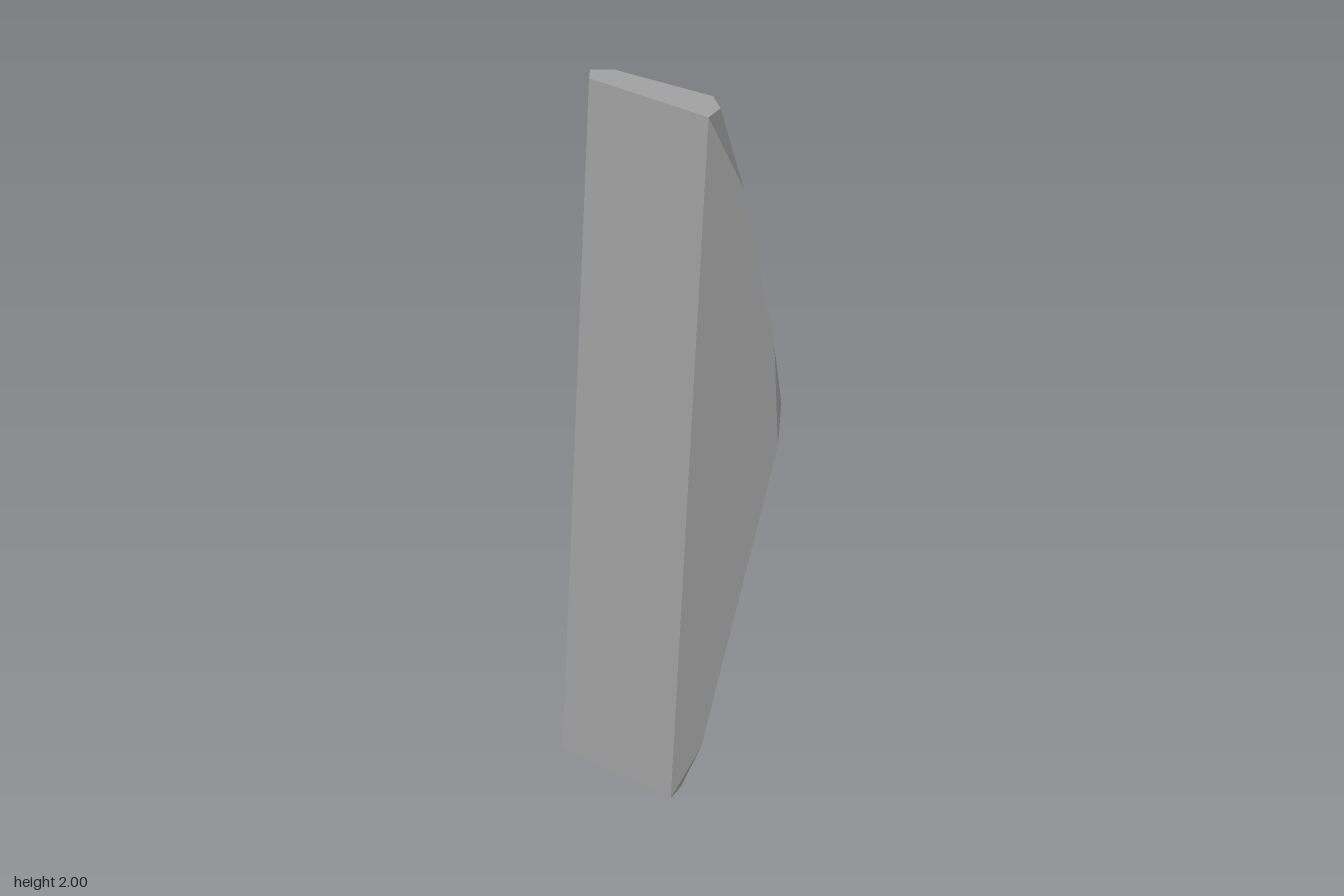
import * as THREE from 'three';
import { ConvexGeometry } from 'three/addons/geometries/ConvexGeometry.js';

export function createModel() {
  const group = new THREE.Group();
  group.name = 'stoneShard';
  const stone = new THREE.MeshStandardMaterial({ color: 0xa0a0a0 });
  stone.name = 'grey stone';

  // corner points [x, y, z] of the faceted slab
  const corners = [
    // bottom outline
    [-0.29, 0, -0.14], [-0.29, 0, -0.078], [0.018, 0, 0.14],
    [0.045, 0, 0.085], [0.03, 0, 0.015], [-0.22, 0, -0.14],
    // top outline
    [-0.185, 2, -0.14], [-0.185, 2, -0.085], [0.103, 2, 0.138],
    [0.13, 2, 0.085], [0.112, 2, 0.015], [-0.125, 2, -0.14],
    // widest ridge on the back and side
    [0.028, 1.21, -0.14], [0.19, 1.21, -0.042],
    [0.279, 1.21, 0.032], [0.29, 1.21, 0.08],
    // edge of the front face
    [0.1, 0.18, 0.139], [0.283, 1.12, 0.135],
    [0.268, 1.4, 0.135], [0.187, 1.82, 0.137],
    // chamfers near the ends of the side
    [0.085, 0.22, 0.045], [0.168, 1.78, 0.04],
  ].map((c) => new THREE.Vector3(...c));

  const shard = new THREE.Mesh(new ConvexGeometry(corners), stone);
  shard.name = 'shard';
  group.add(shard);
  return group;
}
